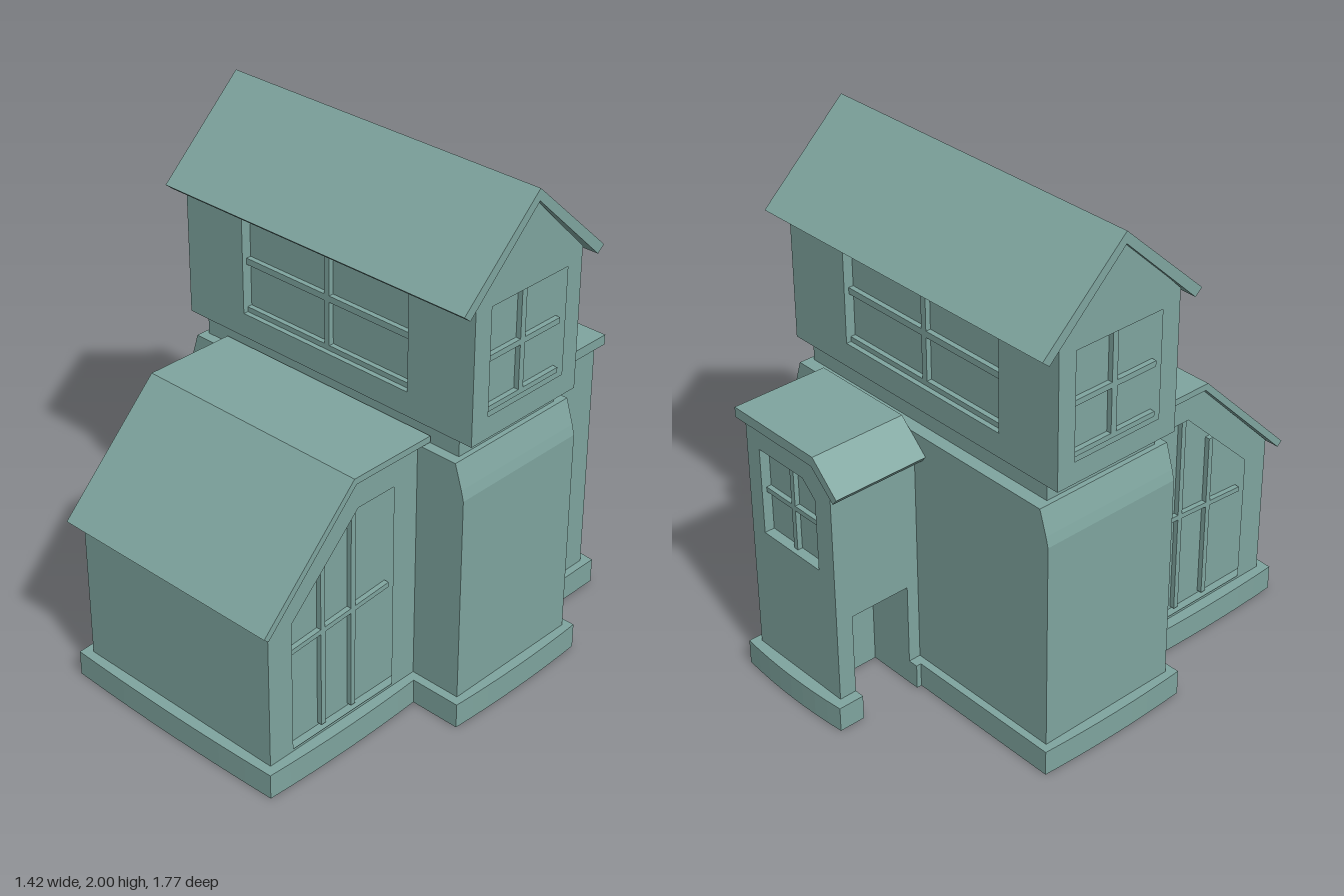
import * as THREE from 'three';

const material = new THREE.MeshStandardMaterial({ color: 0x7fa59f });

export function createModel() {
  const house = new THREE.Group();
  house.name = 'house';

  function add(name, geometry) {
    const mesh = new THREE.Mesh(geometry, material);
    mesh.name = name;
    house.add(mesh);
    return mesh;
  }

  // Box given by its low and high limits on each axis
  function box(name, [x0, x1], [y0, y1], [z0, z1]) {
    const mesh = add(name, new THREE.BoxGeometry(x1 - x0, y1 - y0, z1 - z0));
    mesh.position.set((x0 + x1) / 2, (y0 + y1) / 2, (z0 + z1) / 2);
    return mesh;
  }

  function outline(points, hole) {
    const shape = new THREE.Shape(points.map(([a, b]) => new THREE.Vector2(a, b)));
    if (hole) shape.holes.push(new THREE.Path(hole.map(([a, b]) => new THREE.Vector2(a, b))));
    return shape;
  }

  // Prism along z from an (x, y) profile
  function prismZ(name, points, z0, z1, hole) {
    const g = new THREE.ExtrudeGeometry(outline(points, hole), { depth: z1 - z0, bevelEnabled: false });
    return add(name, g.translate(0, 0, z0));
  }

  // Prism along x from a (z, y) profile
  function prismX(name, points, x0, x1, hole) {
    const flip = (list) => list && list.map(([z, y]) => [-z, y]);
    const shape = outline(flip(points), flip(hole));
    const g = new THREE.ExtrudeGeometry(shape, { depth: x1 - x0, bevelEnabled: false });
    return add(name, g.rotateY(Math.PI / 2).translate(x0, 0, 0));
  }

  const rect = (a0, a1, b0, b1) => [[a0, b0], [a1, b0], [a1, b1], [a0, b1]];
  // Limits of a layer on either side, ordered low to high
  const layer = (side, inner, outer) => (side > 0 ? [inner, outer] : [-outer, -inner]);

  // Plinth with gently bowed outer edges and a doorway notch: [x, z, bow x, bow z]
  const base = new THREE.Shape();
  const corners = [
    [-0.04, -0.5], [-0.04, -0.52], [0.2, -0.52], [0.2, -0.77], [-0.04, -0.77], [-0.04, -0.875],
    [0.49, -0.875, 0, -0.028], [0.49, -0.5], [0.7, -0.5], [0.7, 0.155, 0.02, 0], [0.495, 0.155],
    [0.495, 0.875, 0.02, 0], [-0.495, 0.875, 0, 0.02], [-0.495, 0.155, -0.02, 0],
    [-0.7, 0.155], [-0.7, -0.5, -0.02, 0],
  ];
  let [px, pz] = corners[0];
  base.moveTo(px, -pz);
  for (const [x, z, bx, bz] of corners.slice(1)) {
    if (bx === undefined) base.lineTo(x, -z);
    else base.quadraticCurveTo((px + x) / 2 + bx, -((pz + z) / 2 + bz), x, -z);
    [px, pz] = [x, z];
  }
  base.closePath();
  const plinth = new THREE.ExtrudeGeometry(base, { depth: 0.1, bevelEnabled: false, curveSegments: 8 });
  add('plinth', plinth.rotateX(-Math.PI / 2));

  // Main block with shoulders leaning in at the top
  const half = [[0.67, 0.05], [0.67, 0.93], [0.66, 0.97], [0.63, 1.065]];
  prismZ('mainBlock', [...half, ...half.map(([x, y]) => [-x, y]).reverse()], -0.47, 0.12);
  box('neck', [-0.61, 0.61], [1.06, 1.15], [-0.42, 0.08]);

  // Upper storey: inner core, windowed walls and gables
  const T = 0.04;
  const mid = -0.17;
  box('upperCore', [-0.64, 0.64], [1.14, 1.69], [-0.4, 0.06]);
  const gable = [[0.1, 1.14], [0.1, 1.69], [mid, 1.96], [-0.44, 1.69], [-0.44, 1.14]];
  for (const s of [1, -1]) {
    const [z0, z1] = layer(s, 0.23, 0.27).map((z) => z + mid);
    prismZ(s > 0 ? 'upperFrontWall' : 'upperBackWall', rect(-0.64, 0.64, 1.14, 1.69), z0, z1,
      rect(-0.4, 0.39, 1.235, 1.64));
    const barZ = layer(s, 0.23, 0.25).map((z) => z + mid);
    box('upperWindowPost', [-0.018, 0.006], [1.235, 1.64], barZ);
    box('upperWindowRail', [-0.4, 0.39], [1.425, 1.45], barZ);
    box('upperWindowSill', [-0.4, 0.39], [1.235, 1.255], barZ);

    const [x0, x1] = layer(s, 0.68 - T, 0.68);
    prismX('gableWall', gable, x0, x1, rect(-0.365, 0.02, 1.225, 1.64));
    const barX = layer(s, 0.64, 0.66);
    box('gableWindowPost', barX, [1.225, 1.64], [-0.182, -0.158]);
    box('gableWindowRail', barX, [1.418, 1.44], [-0.365, 0.02]);
    box('gableWindowSill', barX, [1.225, 1.245], [-0.365, 0.02]);
  }
  prismX('upperRoof', [[0.18, 1.67], [-0.175, 2], [-0.53, 1.67], [-0.5, 1.645],
    [-0.175, 1.955], [0.15, 1.645]], -0.7, 0.7);

  // Front wing with a sloped front roof and tall side windows
  const wing = [[0.84, 0.05], [0.84, 0.68], [0.46, 1.065], [0.1, 1.065], [0.1, 0.05]];
  prismX('wingCore', wing, -0.42, 0.42);
  const wingWindow = [[0.73, 0.11], [0.73, 0.64], [0.41, 0.95], [0.235, 0.95], [0.235, 0.11]];
  for (const s of [1, -1]) {
    const [x0, x1] = layer(s, 0.42, 0.46);
    prismX('wingSideWall', wing, x0, x1, wingWindow);
    const bar = layer(s, 0.42, 0.44);
    box('wingWindowPost', bar, [0.11, 0.8], [0.55, 0.571]);
    box('wingWindowPost', bar, [0.11, 0.95], [0.402, 0.423]);
    prismX('wingWindowRail', [[0.73, 0.49], [0.73, 0.51], [0.235, 0.545], [0.235, 0.525]], ...bar);
  }
  prismX('wingRoof', [[0.885, 0.675], [0.46, 1.1], [0.09, 1.1], [0.09, 1.075],
    [0.45, 1.075], [0.865, 0.657]], -0.5, 0.49);

  // Back tower: doorway on its right side, clipped roof corner above it
  box('towerBase', [0.2, 0.46], [0.05, 0.43], [-0.84, -0.46]);
  box('doorPost', [0, 0.2], [0.05, 0.43], [-0.84, -0.77]);
  box('doorPost', [0, 0.2], [0.05, 0.43], [-0.52, -0.46]);
  const tower = [[0, 0.43], [0.46, 0.43], [0.46, 1.07], [0.075, 1.07], [0, 1]];
  prismZ('towerCore', tower, -0.8, -0.46);
  prismZ('towerBackWall', tower, -0.84, -0.8,
    [[0.085, 0.62], [0.39, 0.62], [0.39, 0.97], [0.15, 0.97], [0.085, 0.91]]);
  box('towerWindowPost', [0.228, 0.248], [0.62, 0.97], [-0.82, -0.8]);
  box('towerWindowRail', [0.085, 0.39], [0.785, 0.805], [-0.82, -0.8]);
  prismZ('towerRoof', [[0.49, 1.065], [0.49, 1.105], [0.06, 1.105], [-0.06, 0.99],
    [-0.04, 0.965], [0.07, 1.065]], -0.86, -0.47);

  return house;
}
